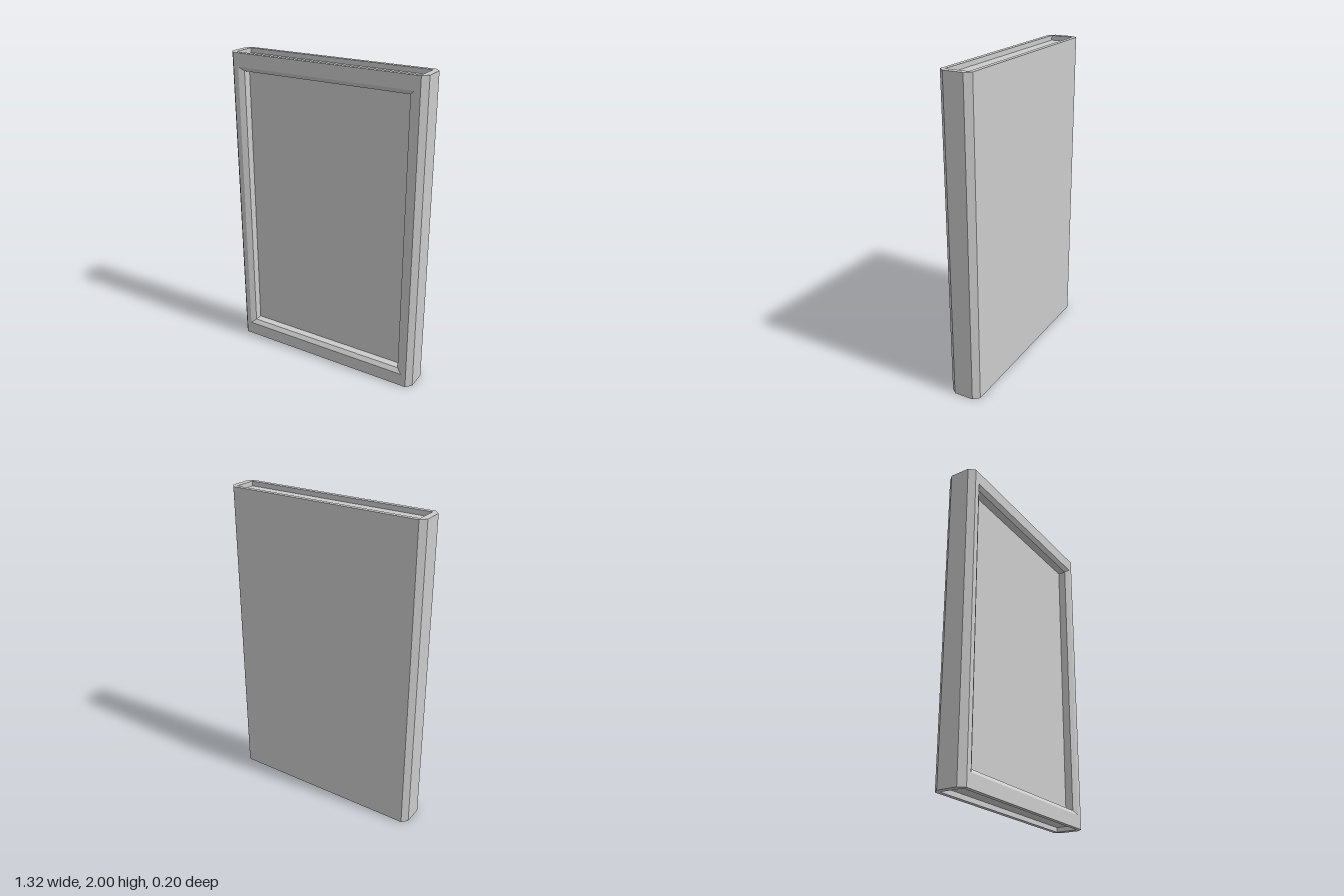
import * as THREE from 'three';

const W = 0.66, D = 0.1, H = 2;        // half width, half depth, height
const FX = 0.627, SZ = 0.063;          // where the corner chamfers start
const RX = 0.62, RZ = 0.072, RD = 0.03; // end recess half sizes and depth

// Skin a series of equal-length loops with flat quads; optionally cap the last one.
function loft(loops, closed, cap) {
  const pos = [];
  const quad = (a, b, c, d) => pos.push(...a, ...b, ...c, ...a, ...c, ...d);
  for (let k = 0; k < loops.length - 1; k++) {
    const A = loops[k], B = loops[k + 1], n = A.length;
    for (let i = 0; i < (closed ? n : n - 1); i++) {
      const j = (i + 1) % n;
      quad(A[i], A[j], B[j], B[i]);
    }
  }
  if (cap) quad(...loops[loops.length - 1]);
  const geo = new THREE.BufferGeometry();
  geo.setAttribute('position', new THREE.Float32BufferAttribute(pos, 3));
  geo.computeVertexNormals();
  return geo;
}

// Rectangles facing the front and facing up
const frontRect = (x, inset, z) =>
  [[-x, inset, z], [x, inset, z], [x, H - inset, z], [-x, H - inset, z]];
const topRect = (x, z, y) => [[-x, y, z], [x, y, z], [x, y, -z], [-x, y, -z]];

export function createModel() {
  const group = new THREE.Group();
  const material = new THREE.MeshStandardMaterial({ color: 0xcccccc, flatShading: true });
  const add = (parent, name, geo) => {
    const mesh = new THREE.Mesh(geo, material);
    mesh.name = name;
    parent.add(mesh);
  };

  // Chamfered outline, running from the front's +x edge round the back
  const outline = [[FX, D], [W, SZ], [W, -SZ], [FX, -D], [-FX, -D], [-W, -SZ], [-W, SZ], [-FX, D]];

  // Sides, chamfers and back
  const wall = y => outline.map(([x, z]) => [x, y, z]);
  add(group, 'sidesAndBack', loft([wall(0), wall(H)], false, false));

  // Front border, shallow bevel, steep step and sunken panel
  add(group, 'frontFrame', loft([
    frontRect(FX, 0, D), frontRect(0.592, 0.085, D), frontRect(0.56, 0.112, D - 0.02),
  ], true, false));
  add(group, 'frontPanel', loft([
    frontRect(0.56, 0.112, D - 0.02), frontRect(0.56, 0.112, D - 0.07),
  ], true, true));

  // Top and bottom ends: a flat rim around a shallow recess
  const rim = new THREE.Shape(outline.map(([x, z]) => new THREE.Vector2(x, -z)));
  rim.holes.push(new THREE.Path(topRect(RX, RZ, 0).map(([x, , z]) => new THREE.Vector2(x, -z))));
  const rimGeo = new THREE.ShapeGeometry(rim).rotateX(-Math.PI / 2);
  const recessGeo = loft([topRect(RX, RZ, 0), topRect(RX, RZ, -RD)], true, true);
  for (const top of [true, false]) {
    const end = new THREE.Group();
    end.name = top ? 'topEnd' : 'bottomEnd';
    add(end, 'rim', rimGeo);
    add(end, 'recess', recessGeo);
    end.position.y = top ? H : 0;
    end.rotation.z = top ? 0 : Math.PI;
    group.add(end);
  }
  return group;
}
